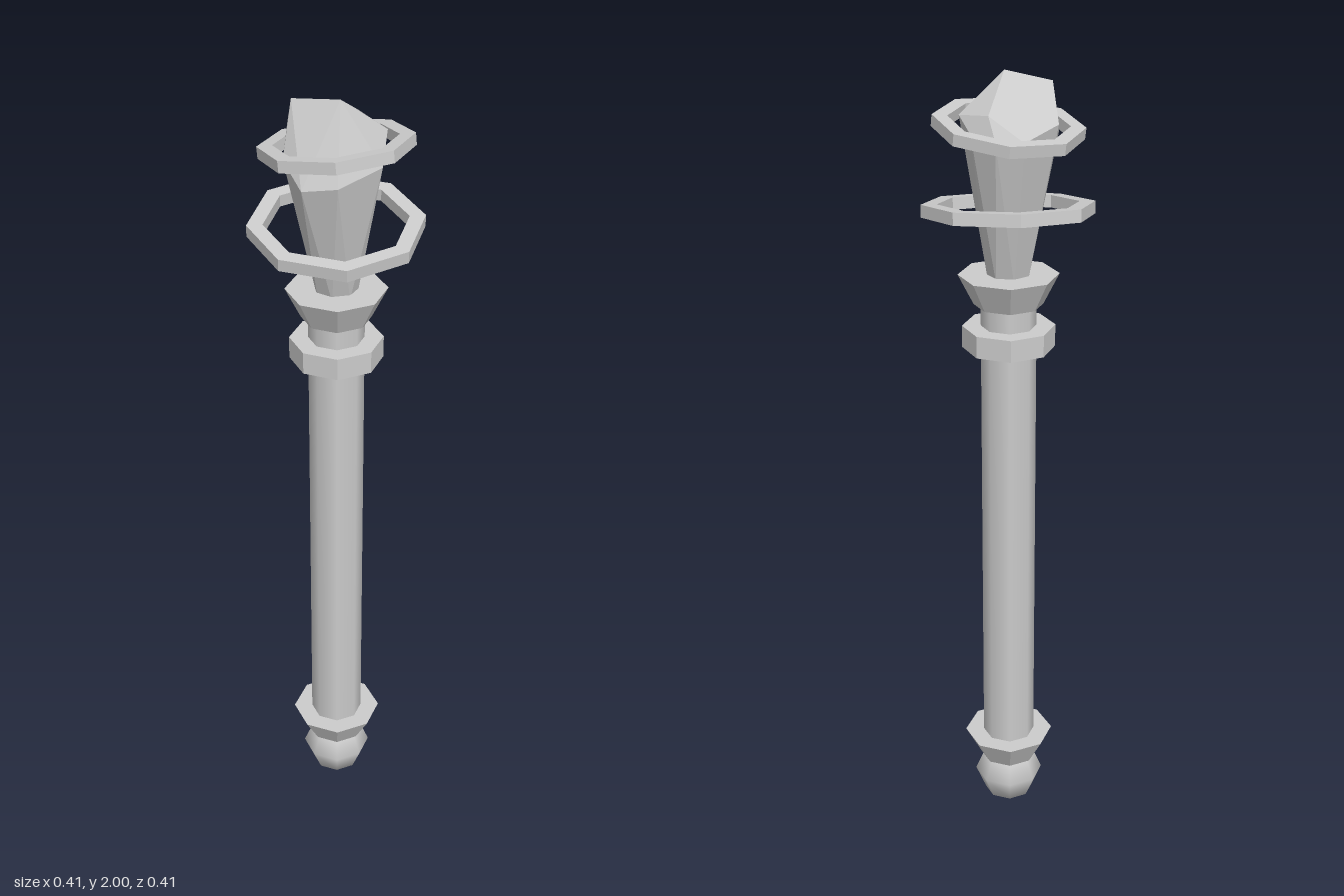
import * as THREE from 'three';
import { ConvexGeometry } from 'three/addons/geometries/ConvexGeometry.js';

const SIDES = 8;
const smooth = new THREE.MeshStandardMaterial({ color: 0xcccccc });
const faceted = new THREE.MeshStandardMaterial({ color: 0xcccccc, flatShading: true });

export function createModel() {
  const group = new THREE.Group();

  const add = (name, geometry, material, y = 0) => {
    const mesh = new THREE.Mesh(geometry, material);
    mesh.name = name;
    mesh.position.y = y;
    group.add(mesh);
    return mesh;
  };

  // Octagonal drum or cup between two heights
  const drum = (name, rTop, rBottom, y0, y1, material = faceted) =>
    add(name, new THREE.CylinderGeometry(rTop, rBottom, y1 - y0, SIDES), material, (y0 + y1) / 2);

  // Floating octagonal ring of rectangular section, tilted about its centre
  const ring = (name, inner, outer, height, y, rx, ry, rz) => {
    const h = height / 2;
    const profile = [[inner, -h], [outer, -h], [outer, h], [inner, h], [inner, -h]]
      .map(([r, v]) => new THREE.Vector2(r, v));
    const mesh = add(name, new THREE.LatheGeometry(profile, SIDES), faceted, y);
    mesh.rotation.set(rx, ry, rz);
  };

  // Handle
  add('pommel', new THREE.SphereGeometry(0.09, SIDES, 4), smooth, 0.09);
  drum('pommelCup', 0.117, 0.075, 0.145, 0.22);
  drum('shaft', 0.068, 0.068, 0.15, 1.46, smooth);
  drum('collar', 0.114, 0.114, 1.34, 1.395);
  drum('crystalCup', 0.123, 0.085, 1.45, 1.525);

  // Crystal: off-centre tip, uneven shoulder, narrow root in the cup
  const points = [
    [0.008, 2.0, 0.043], [-0.1, 1.985, -0.01], [0.05, 1.925, -0.1],
    [0.115, 1.91, -0.015], [0.102, 1.845, 0.05], [0, 1.83, 0.135],
    [-0.08, 1.815, 0.11], [-0.12, 1.86, 0.04], [-0.11, 1.9, -0.08],
    [-0.03, 1.87, -0.13], [0.035, 1.87, -0.13], [0.09, 1.88, -0.085],
  ].map((p) => new THREE.Vector3(...p));
  for (let i = 0; i < 7; i++) {
    const a = (i / 7) * Math.PI * 2;
    points.push(new THREE.Vector3(0.05 * Math.cos(a), 1.51, 0.043 * Math.sin(a)));
  }
  add('crystal', new ConvexGeometry(points), faceted);

  // Rings around the crystal
  ring('upperRing', 0.143, 0.179, 0.028, 1.878, -0.1, -0.03, 0.09);
  ring('lowerRing', 0.17, 0.208, 0.03, 1.684, 0.14, 0.09, 0);

  return group;
}
